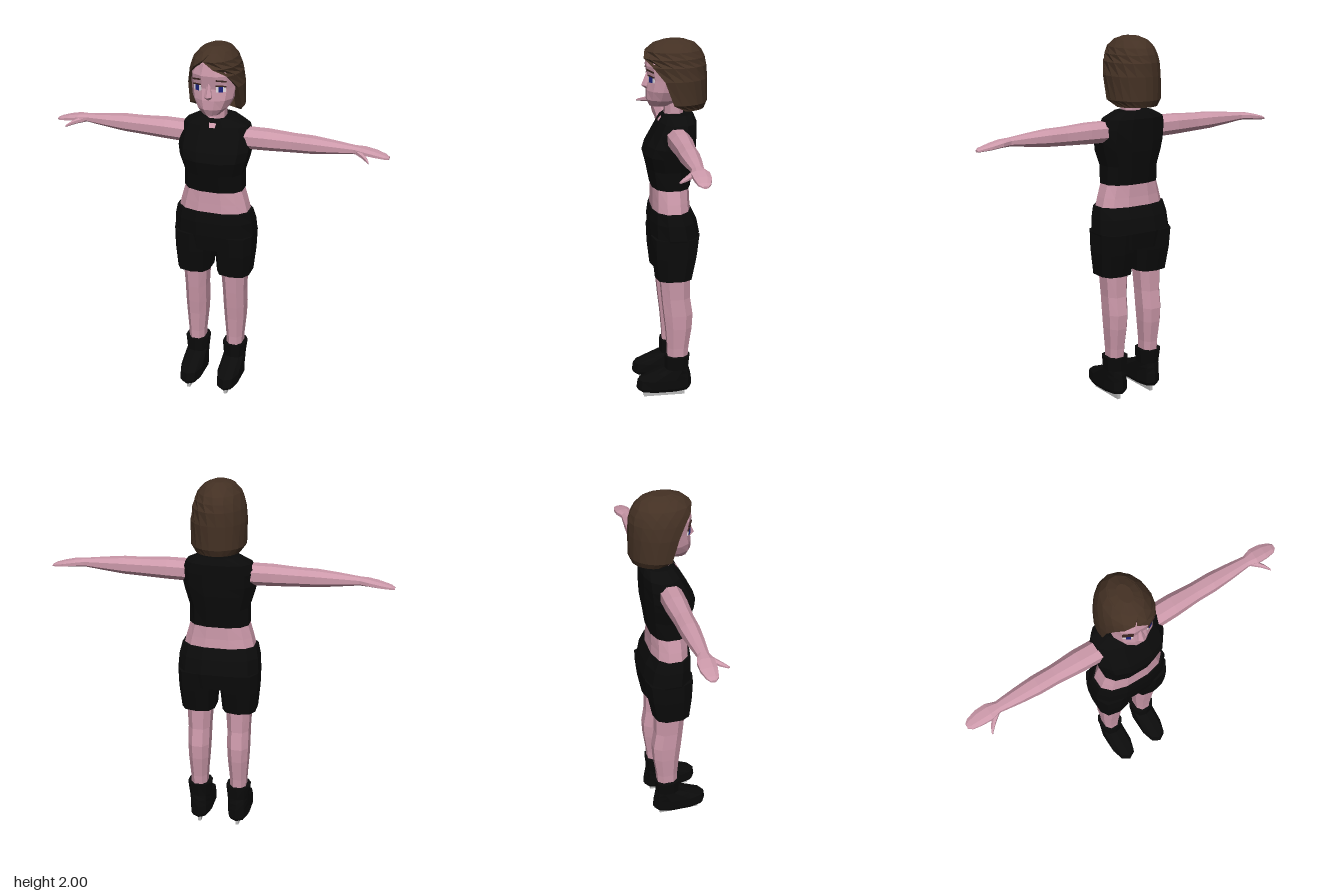
import * as THREE from 'three';

const mat = (name, color, side = THREE.FrontSide) => {
  const m = new THREE.MeshStandardMaterial({ color, flatShading: true, side });
  m.name = name;
  return m;
};

// Turns loops of points (rows of equal length) into a flat-shaded surface.
function skinRows(rows, closed, caps) {
  const pos = [];
  const tri = (...pts) => pts.forEach((p) => pos.push(...p));
  const n = rows[0].length;
  for (let i = 0; i < rows.length - 1; i++) {
    for (let j = 0; j < (closed ? n : n - 1); j++) {
      const k = (j + 1) % n;
      tri(rows[i][j], rows[i + 1][j], rows[i + 1][k]);
      tri(rows[i][j], rows[i + 1][k], rows[i][k]);
    }
  }
  if (caps) {
    const first = rows[0], last = rows[rows.length - 1];
    for (let j = 1; j < n - 1; j++) {
      tri(first[0], first[j], first[j + 1]);
      tri(last[0], last[j + 1], last[j]);
    }
  }
  const g = new THREE.BufferGeometry();
  g.setAttribute('position', new THREE.Float32BufferAttribute(pos, 3));
  g.computeVertexNormals();
  return g;
}

// Loft along y: sections are [y, xMin, xMax, zMin, zMax].
// Loft along x: sections are [x, zMin, zMax, yMin, yMax].
function loft(sections, sides = 10, axis = 'y', power = 0.8) {
  const bend = (v) => Math.sign(v) * Math.abs(v) ** power;
  const rows = sections.map(([t, a0, a1, b0, b1]) =>
    Array.from({ length: sides }, (_, j) => {
      const th = ((j + 0.5) / sides) * Math.PI * 2;
      const a = (a0 + a1) / 2 + ((a1 - a0) / 2) * bend(Math.cos(th)) / bend(Math.cos(Math.PI / sides));
      const b = (b0 + b1) / 2 + ((b1 - b0) / 2) * bend(Math.sin(th));
      return axis === 'y' ? [a, t, b] : [t, b, a];
    }));
  return skinRows(rows, true, true);
}

// Symmetric section about x = 0
const sym = (list) => list.map(([y, x, z0, z1]) => [y, -x, x, z0, z1]);

// Mirrored copy across x with the winding put right
function mirrored(geo) {
  const g = geo.clone(), p = g.attributes.position, out = [];
  for (let i = 0; i < p.count; i += 3) {
    for (const k of [i, i + 2, i + 1]) out.push(-p.getX(k), p.getY(k), p.getZ(k));
  }
  g.setAttribute('position', new THREE.Float32BufferAttribute(out, 3));
  g.computeVertexNormals();
  return g;
}

export function createModel() {
  const skin = mat('skin', 0xcc99aa);
  const cloth = mat('black cloth', 0x0b0b0b);
  const hairMat = mat('brown hair', 0x443124, THREE.DoubleSide);
  const metal = mat('blade steel', 0xbcbcbc);
  const white = mat('eye white', 0xe4dcE0);
  const blue = mat('iris blue', 0x1c2280);
  const dark = mat('brow brown', 0x3a2420);

  const model = new THREE.Group();
  model.name = 'skater';
  const add = (name, geo, m) => {
    const mesh = new THREE.Mesh(geo, m);
    mesh.name = name;
    model.add(mesh);
    return mesh;
  };
  const pair = (name, geo, m) => {
    add('left' + name, geo, m);
    add('right' + name, mirrored(geo), m);
  };

  // Head, nose and neck
  add('head', loft(sym([
    [1.655, 0.045, 0.0, 0.108], [1.69, 0.082, -0.08, 0.125], [1.74, 0.108, -0.1, 0.125],
    [1.8, 0.118, -0.12, 0.115], [1.87, 0.118, -0.12, 0.128], [1.93, 0.09, -0.1, 0.115],
  ]), 12, 'y', 0.9), skin);
  add('nose', loft(sym([
    [1.742, 0.014, 0.08, 0.122], [1.762, 0.02, 0.08, 0.148], [1.83, 0.008, 0.08, 0.12],
  ]), 6, 'y', 1), skin);
  add('neck', loft(sym([
    [1.57, 0.03, -0.07, 0.066], [1.615, 0.05, -0.075, 0.028], [1.68, 0.05, -0.075, 0.03],
  ]), 8), skin);

  // Hair shell: [y, halfWidth, zBack, zFront, opening on +x side, opening on -x side] in degrees
  const hairRows = [
    [1.65, 0.05, -0.12, -0.04, 95, 95], [1.64, 0.12, -0.185, 0.07, 97, 97],
    [1.675, 0.146, -0.2, 0.12, 78, 78], [1.8, 0.148, -0.2, 0.14, 66, 69],
    [1.87, 0.139, -0.197, 0.145, 44, 56], [1.91, 0.128, -0.187, 0.143, 14, 40],
    [1.945, 0.113, -0.17, 0.13, -14, 18], [1.98, 0.08, -0.137, 0.092, 0, 0],
    [2.0, 0.035, -0.08, 0.03, 0, 0],
  ].map(([y, rx, zb, zf, openL, openR]) => {
    const row = [], n = 13;
    const a0 = THREE.MathUtils.degToRad(openL), a1 = THREE.MathUtils.degToRad(360 - openR);
    for (let j = 0; j <= n; j++) {
      const a = a0 + ((a1 - a0) * j) / n;
      row.push([rx * Math.sin(a), y, (zf + zb) / 2 + ((zf - zb) / 2) * Math.cos(a)]);
    }
    // fold both front edges inward to meet the face
    const fold = ([x, py, z]) => [x * 0.72, py, z - 0.015];
    return [fold(row[0]), ...row, fold(row[n])].reverse();
  });
  add('hair', skinRows(hairRows, false, false), hairMat);
  add('hairCrown', loft(sym([[1.955, 0.1, -0.15, 0.1], [1.985, 0.07, -0.12, 0.07], [2.0, 0.034, -0.079, 0.029]]), 12, 'y', 1), hairMat);

  // Eyes and brows
  for (const s of [1, -1]) {
    const eye = new THREE.Group();
    eye.name = s > 0 ? 'leftEye' : 'rightEye';
    eye.position.set(s * 0.062, 1.802, 0.1);
    eye.rotation.y = s * 0.5;
    const plate = (name, w, h, x, y, z, m, tilt = 0) => {
      const p = new THREE.Mesh(new THREE.BoxGeometry(w, h, 0.008), m);
      p.name = name;
      p.position.set(s * x, y, z);
      p.rotation.z = s * tilt;
      eye.add(p);
    };
    plate('eyeWhite', 0.05, 0.028, 0, 0, 0, white);
    plate('iris', 0.024, 0.03, -0.002, 0, 0.003, blue);
    plate('lash', 0.054, 0.006, 0, 0.017, 0.003, dark, -0.1);
    plate('brow', 0.056, 0.007, 0, 0.045, 0.008, dark, -0.15);
    model.add(eye);
  }

  // Torso: cropped top and bare waist
  add('top', loft(sym([
    [1.22, 0.16, -0.107, 0.105], [1.32, 0.158, -0.122, 0.125], [1.4, 0.182, -0.135, 0.145],
    [1.45, 0.192, -0.138, 0.13], [1.52, 0.19, -0.14, 0.09], [1.575, 0.172, -0.14, 0.06],
    [1.612, 0.1, -0.125, 0.03],
  ]), 12), cloth);
  add('waist', loft(sym([
    [1.08, 0.195, -0.108, 0.105], [1.15, 0.178, -0.102, 0.102], [1.23, 0.155, -0.1, 0.1],
  ]), 12), skin);

  // Shorts
  add('shortsHips', loft(sym([
    [0.87, 0.2, -0.14, 0.105], [0.96, 0.222, -0.156, 0.117], [1.04, 0.216, -0.14, 0.12],
    [1.1, 0.203, -0.11, 0.112],
  ]), 12), cloth);
  pair('ShortsLeg', loft([
    [0.72, 0.022, 0.205, -0.11, 0.095], [0.85, 0.012, 0.217, -0.137, 0.11], [0.96, 0.005, 0.22, -0.15, 0.115],
  ], 10, 'y', 0.7), cloth);

  // Legs
  pair('Leg', loft([
    [0.2, 0.068, 0.155, -0.085, 0.03], [0.3, 0.066, 0.158, -0.092, 0.032], [0.42, 0.056, 0.167, -0.11, 0.042],
    [0.5, 0.052, 0.17, -0.115, 0.052], [0.6, 0.05, 0.17, -0.1, 0.062], [0.75, 0.04, 0.178, -0.1, 0.075],
  ], 8), skin);

  // Ice skates
  pair('Boot', loft([
    [0.04, 0.058, 0.162, -0.1, 0.19], [0.06, 0.047, 0.172, -0.11, 0.202], [0.11, 0.047, 0.172, -0.107, 0.195],
    [0.145, 0.05, 0.17, -0.1, 0.11], [0.172, 0.052, 0.168, -0.092, 0.042], [0.25, 0.045, 0.177, -0.1, 0.042],
  ], 10), cloth);
  for (const s of [1, -1]) {
    add(s > 0 ? 'leftBlade' : 'rightBlade', new THREE.BoxGeometry(0.018, 0.045, 0.23), metal)
      .position.set(s * 0.11, 0.0225, 0.045);
  }

  // Arms with mitten-like hands and thumbs
  pair('Arm', loft([
    [0.15, -0.078, 0.035, 1.448, 1.565], [0.28, -0.08, 0.032, 1.452, 1.566], [0.42, -0.072, 0.022, 1.458, 1.558],
    [0.52, -0.073, 0.022, 1.463, 1.556], [0.63, -0.066, 0.014, 1.475, 1.545], [0.74, -0.056, 0.002, 1.488, 1.532],
    [0.79, -0.074, 0.014, 1.488, 1.528], [0.85, -0.074, 0.01, 1.482, 1.515], [0.9, -0.06, 0.0, 1.478, 1.5],
    [0.92, -0.045, -0.018, 1.477, 1.49],
  ], 8, 'x', 0.9), skin);
  pair('Thumb', loft([
    [0.75, -0.03, 0.002, 1.488, 1.522], [0.79, 0.0, 0.034, 1.484, 1.512],
    [0.815, 0.03, 0.058, 1.48, 1.502], [0.832, 0.062, 0.076, 1.478, 1.49],
  ], 6, 'x', 1), skin);

  return model;
}
